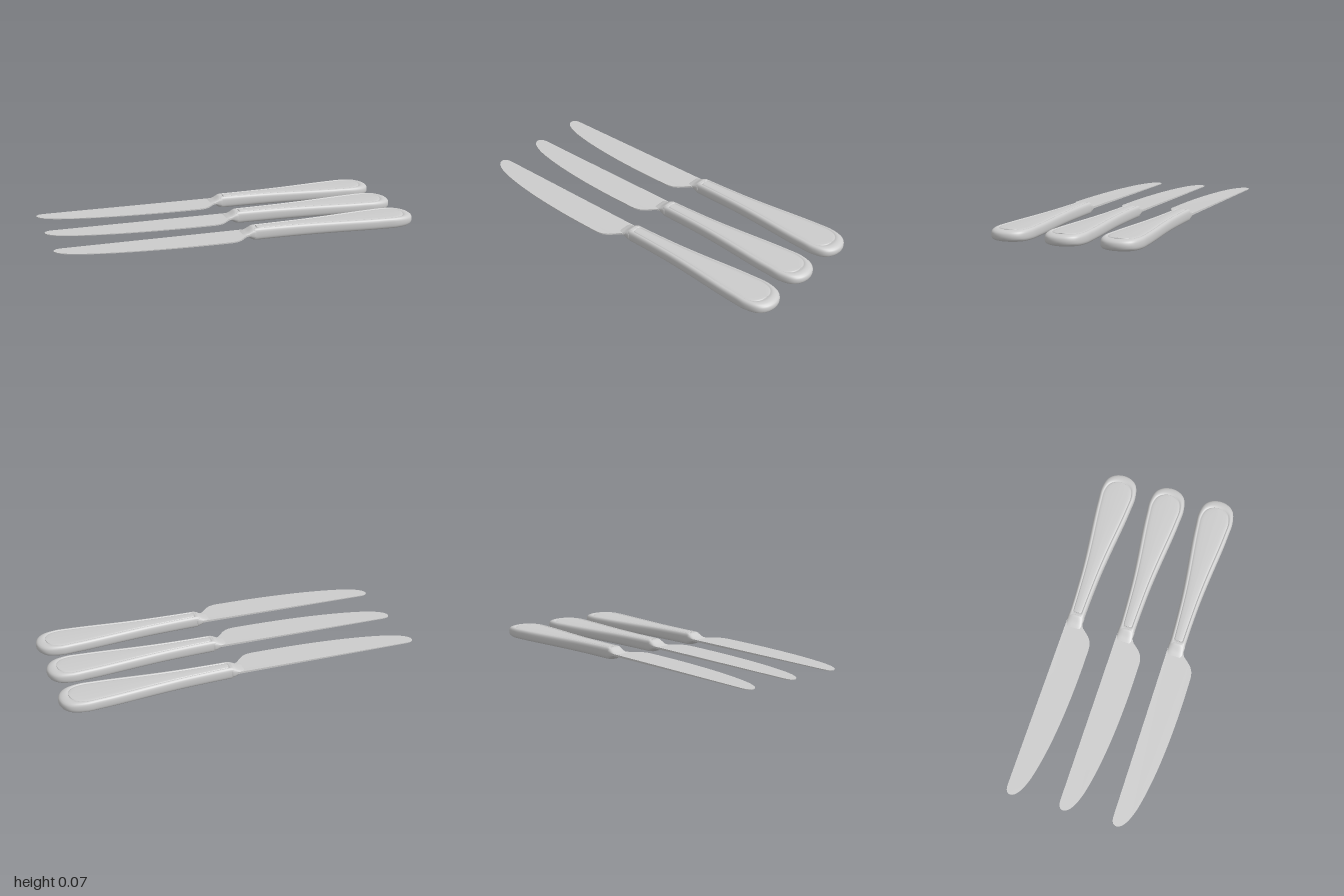
import * as THREE from 'three';
import { toCreasedNormals } from 'three/addons/utils/BufferGeometryUtils.js';

const MID = 0.035; // height of the knife's middle plane
const material = new THREE.MeshStandardMaterial({ color: 0xcccccc });

// Smooth skin over rows of points; each row is a closed loop
function loft(rows) {
  const n = rows[0].length;
  const index = [];
  for (let j = 0; j < rows.length - 1; j++) {
    for (let i = 0; i < n; i++) {
      const k = (i + 1) % n;
      const a = j * n + i, b = a + n, c = (j + 1) * n + k, d = j * n + k;
      index.push(a, b, c, a, c, d);
    }
  }
  const geometry = new THREE.BufferGeometry();
  geometry.setAttribute('position', new THREE.Float32BufferAttribute(rows.flat(2), 3));
  geometry.setIndex(index);
  geometry.computeVertexNormals();
  return geometry;
}

// Closed, mirrored outline from the points of one half
function outline(half, count) {
  const points = half.map(([x, z]) => new THREE.Vector2(x, z));
  const mirrored = points.slice(0, -1).reverse().map((p) => new THREE.Vector2(p.x, -p.y));
  const curve = new THREE.SplineCurve([...points, ...mirrored]);
  return Array.from({ length: count }, (_, i) => curve.getPoint(i / count));
}

// Handle: rounded rim, groove and gently crowned panel on both faces
function handleGeometry() {
  const outer = outline([
    [0.05, 0], [0.05, 0.025], [0.055, 0.043], [0.1, 0.045], [0.2, 0.048], [0.35, 0.056], [0.5, 0.07],
    [0.7, 0.092], [0.8, 0.1], [0.88, 0.104], [0.95, 0.089], [0.987, 0.053], [1, 0],
  ], 144);
  const panel = outline([
    [0.085, 0], [0.085, 0.014], [0.092, 0.023], [0.12, 0.025], [0.2, 0.028], [0.35, 0.035], [0.5, 0.047],
    [0.7, 0.069], [0.8, 0.078], [0.86, 0.081], [0.91, 0.068], [0.937, 0.038], [0.945, 0],
  ], 144);
  // [position, height]: 0 = outer edge, 1 = panel edge, 2 = centre line
  const profile = [
    [2, 1.03], [1.6, 1.02], [1.25, 0.98], [1.12, 0.95], [1.05, 0.9], [1, 0.84], [0.93, 0.88], [0.82, 0.96],
    [0.65, 0.98], [0.45, 0.93], [0.25, 0.81], [0.1, 0.62], [0.02, 0.35], [0, 0],
  ];
  const under = profile.slice(0, -1).reverse().map(([s, f]) => [s, -f]);
  return loft([...profile, ...under].map(([s, f]) => outer.map((o, i) => {
    const p = panel[i];
    const x = s < 1 ? THREE.MathUtils.lerp(o.x, p.x, s) : p.x;
    const z = s < 1 ? THREE.MathUtils.lerp(o.y, p.y, s) : p.y * (2 - s);
    return [x, f * (0.034 - 0.0045 * x), z];
  })));
}

// Bolster: collar that flares from the blade to the handle
function bolsterGeometry() {
  const sections = [ // x, half height, half width
    [0, 0.001, 0.03], [0, 0.006, 0.044], [0.02, 0.01, 0.045], [0.038, 0.019, 0.045], [0.052, 0.029, 0.046],
    [0.062, 0.0335, 0.0465], [0.07, 0.0335, 0.0465], [0.076, 0.03, 0.043], [0.078, 0.001, 0.002],
  ];
  const round = (v) => Math.sign(v) * Math.abs(v) ** 0.7;
  return loft(sections.map(([x, h, w]) => Array.from({ length: 40 }, (_, i) => {
    const a = (i / 40) * Math.PI * 2;
    return [x, h * round(Math.sin(a)), w * round(Math.cos(a))];
  })));
}

// Blade: straight spine, curved belly, thinner towards tip and cutting edge
function bladeGeometry() {
  const shape = new THREE.Shape();
  shape.moveTo(0.06, 0.045);
  shape.lineTo(-0.3, 0.05);
  shape.lineTo(-0.95, 0.06);
  shape.bezierCurveTo(-0.985, 0.061, -1, 0.048, -1, 0.028);
  shape.bezierCurveTo(-0.995, -0.01, -0.93, -0.035, -0.88, -0.05);
  shape.bezierCurveTo(-0.7, -0.098, -0.42, -0.124, -0.1, -0.124);
  shape.bezierCurveTo(-0.04, -0.124, -0.02, -0.09, 0, -0.07);
  shape.bezierCurveTo(0.015, -0.05, 0.03, -0.045, 0.06, -0.042);
  const geometry = new THREE.ExtrudeGeometry(shape, { depth: 1, bevelEnabled: false, curveSegments: 16 });
  geometry.translate(0, 0, -0.5);
  geometry.rotateX(-Math.PI / 2);
  const p = geometry.attributes.position;
  for (let i = 0; i < p.count; i++) {
    const along = THREE.MathUtils.clamp(p.getX(i) + 1, 0, 1);
    const across = THREE.MathUtils.clamp((p.getZ(i) + 0.06) / 0.185, 0, 1);
    p.setY(i, p.getY(i) * (0.004 + 0.008 * along) * (1 - 0.4 * across));
  }
  return toCreasedNormals(geometry, 0.6);
}

export function createModel() {
  const model = new THREE.Group();
  model.name = 'tableKnives';
  const parts = { blade: bladeGeometry(), bolster: bolsterGeometry(), handle: handleGeometry() };

  // Three equal knives side by side
  [0.285, -0.01, -0.305].forEach((z, i) => {
    const knife = new THREE.Group();
    knife.name = `knife${i + 1}`;
    for (const [name, geometry] of Object.entries(parts)) {
      const mesh = new THREE.Mesh(geometry, material);
      mesh.name = name;
      knife.add(mesh);
    }
    knife.position.set(0, MID, z);
    model.add(knife);
  });
  return model;
}
